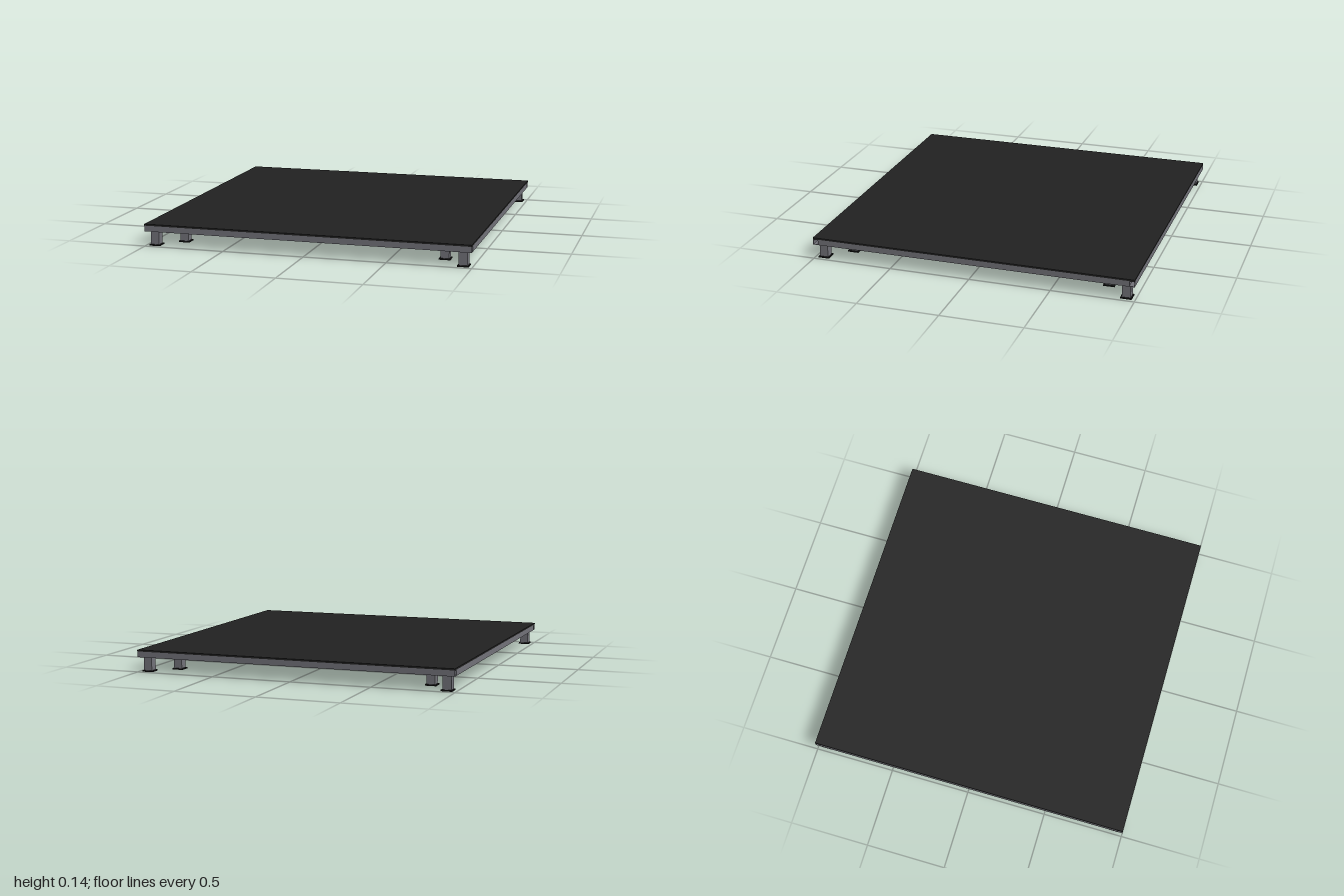
import * as THREE from 'three';

const T = 0.035;        // square tube size
const WALL = 0.003;     // tube wall
const FRAME_Y = 0.109;  // centre height of the frame
const INSET = 0.81;     // joist and inner leg position

// Square path for the tube section
function square(target, h) {
  target.moveTo(-h, -h);
  target.lineTo(h, -h);
  target.lineTo(h, h);
  target.lineTo(-h, h);
  target.closePath();
  return target;
}

// Hollow square tube, open at both ends, running along z and centred
function tubeGeometry(length) {
  const shape = square(new THREE.Shape(), T / 2);
  shape.holes.push(square(new THREE.Path(), T / 2 - WALL));
  const geometry = new THREE.ExtrudeGeometry(shape, { depth: length, bevelEnabled: false });
  return geometry.translate(0, 0, -length / 2);
}

export function createModel() {
  const model = new THREE.Group();
  model.name = 'stagePlatform';

  const deckMaterial = new THREE.MeshStandardMaterial({ color: 0x222222 });
  deckMaterial.name = 'blackDeck';
  const steel = new THREE.MeshStandardMaterial({ color: 0x74747b });
  steel.name = 'greySteel';
  const rubber = new THREE.MeshStandardMaterial({ color: 0x161616 });
  rubber.name = 'blackFoot';

  const add = (name, geometry, material, x, y, z, parent = model) => {
    const mesh = new THREE.Mesh(geometry, material);
    mesh.name = name;
    mesh.position.set(x, y, z);
    parent.add(mesh);
    return mesh;
  };

  // Deck board
  add('deck', new THREE.BoxGeometry(2, 0.01, 2), deckMaterial, 0, 0.1315, 0);

  // Front and back beams run the full width
  const edge = 1 - T / 2;
  const longTube = tubeGeometry(2);
  for (const [name, z] of [['frontBeam', edge], ['backBeam', -edge]]) {
    add(name, longTube, steel, 0, FRAME_Y, z).rotation.y = Math.PI / 2;
  }

  // Side beams and lengthwise joists fit between them
  const innerTube = tubeGeometry(2 - 2 * T);
  const lines = [-edge, -INSET, 0, INSET, edge];
  lines.forEach((x) => {
    const name = Math.abs(x) === edge ? 'sideBeam' : 'joist';
    add(name, innerTube, steel, x, FRAME_Y, 0);
  });

  // Cross braces fill the gaps between the lengthwise members
  for (let i = 0; i < lines.length - 1; i++) {
    const brace = tubeGeometry(lines[i + 1] - lines[i] - T);
    const x = (lines[i] + lines[i + 1]) / 2;
    for (const z of [-INSET, 0, INSET]) {
      add('crossBrace', brace, steel, x, FRAME_Y, z).rotation.y = Math.PI / 2;
    }
  }

  // Two legs on each corner diagonal, each on a square foot plate
  const post = new THREE.BoxGeometry(0.052, 0.085, 0.052);
  const plate = new THREE.BoxGeometry(0.068, 0.008, 0.068);
  for (const sx of [-1, 1]) {
    for (const sz of [-1, 1]) {
      for (const d of [0.945, INSET]) {
        const leg = new THREE.Group();
        leg.name = 'leg';
        leg.position.set(sx * d, 0, sz * d);
        add('legPost', post, steel, 0, 0.0505, 0, leg);
        add('footPlate', plate, rubber, 0, 0.004, 0, leg);
        model.add(leg);
      }
    }
  }

  return model;
}
